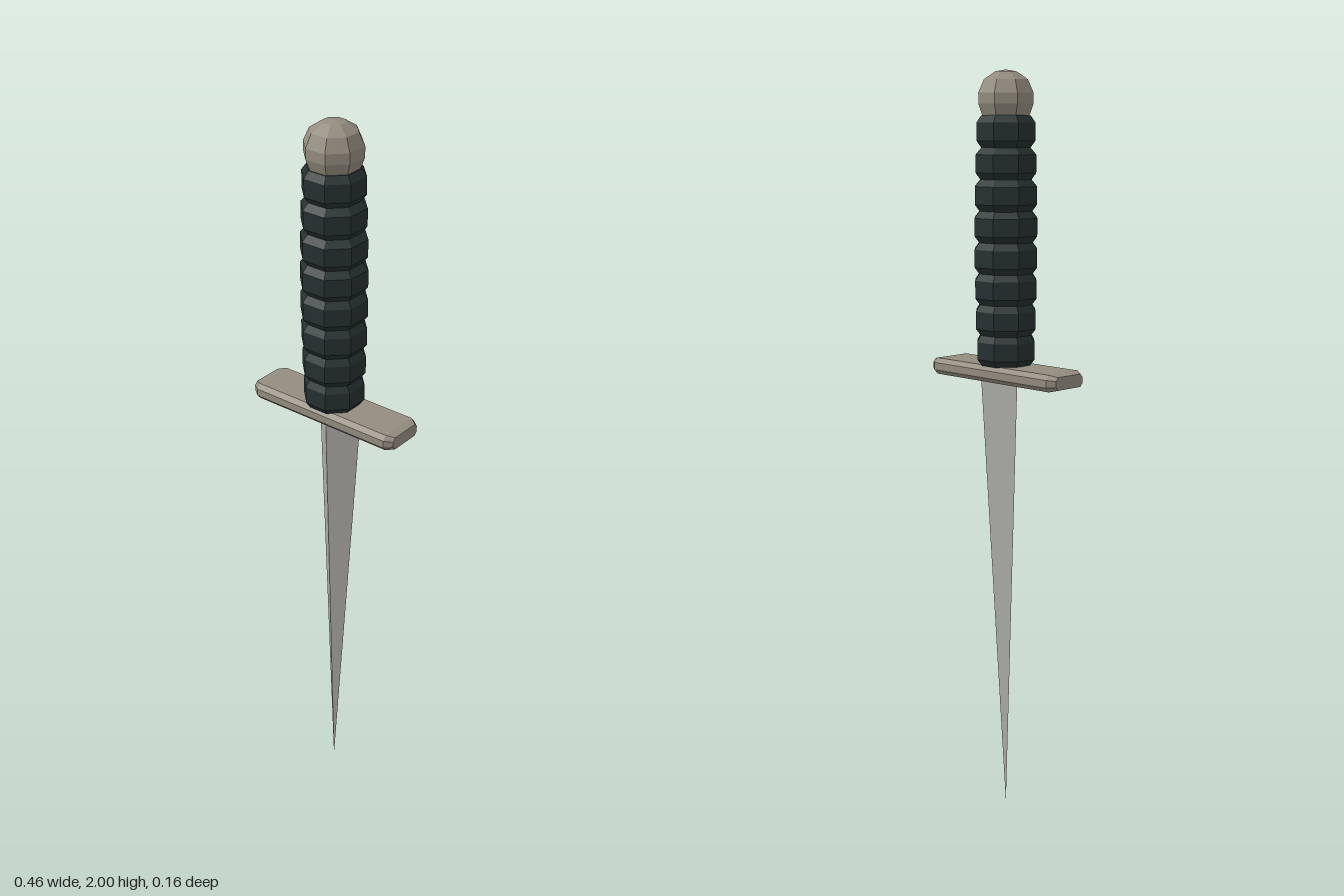
import * as THREE from 'three';

// Joins rings of equal length (counter-clockwise seen from the far end) and closes both ends.
function loft(rings) {
  const n = rings[0].length, pos = [];
  const tri = (a, b, c) => pos.push(...a, ...b, ...c);
  for (let i = 0; i < rings.length - 1; i++) {
    for (let j = 0; j < n; j++) {
      const k = (j + 1) % n, a = rings[i], b = rings[i + 1];
      tri(a[j], a[k], b[k]);
      tri(a[j], b[k], b[j]);
    }
  }
  const first = rings[0], last = rings[rings.length - 1];
  for (let j = 1; j < n - 1; j++) {
    tri(first[0], first[j + 1], first[j]);
    tri(last[0], last[j], last[j + 1]);
  }
  const geometry = new THREE.BufferGeometry();
  geometry.setAttribute('position', new THREE.Float32BufferAttribute(pos, 3));
  geometry.computeVertexNormals();
  return geometry;
}

// Eight-sided turned part with flats facing the axes; profile radii are across the flats.
function octagonTurn(profile) {
  const points = profile.map(([r, y]) => new THREE.Vector2(r / Math.cos(Math.PI / 8), y));
  const geometry = new THREE.LatheGeometry(points, 8, Math.PI / 8).toNonIndexed();
  geometry.computeVertexNormals();
  return geometry;
}

export function createModel() {
  const group = new THREE.Group();
  const material = (name, color) => {
    const m = new THREE.MeshStandardMaterial({ color });
    m.name = name;
    return m;
  };
  const steel = material('blade steel', 0xacaba6);
  const bronze = material('dull bronze', 0x938c7e);
  const wrap = material('dark grip', 0x263030);
  const add = (name, geometry, mat) => {
    const mesh = new THREE.Mesh(geometry, mat);
    mesh.name = name;
    group.add(mesh);
  };

  // Blade: flat back, central front ridge, tapering down to a point
  const bladeRing = (y, s) => [[0.068 * s, y, -0.026 * s], [-0.068 * s, y, -0.026 * s], [0, y, 0.035 * s]];
  add('blade', loft([bladeRing(0, 0.005), bladeRing(1.21, 1)]), steel);

  // Crossguard: bevelled bar with narrowed ends
  const section = [[0.01, 0.064], [-0.01, 0.064], [-0.022, 0.053], [-0.022, -0.055],
    [-0.01, -0.066], [0.01, -0.066], [0.022, -0.055], [0.022, 0.053]];
  const guardRing = (x, s) => section.map(([y, z]) => [x, 1.222 + y * s, z * s]);
  add('crossguard', loft([guardRing(-0.229, 0.77), guardRing(-0.208, 1),
    guardRing(0.208, 1), guardRing(0.229, 0.77)]), bronze);

  // Grip: eight bevelled ribs, slightly fuller in the middle
  const ribs = 8, bottom = 1.243, pitch = 0.0804;
  const grip = [[0, bottom]];
  for (let i = 0; i < ribs; i++) {
    const y = bottom + i * pitch;
    const r = 0.075 + 0.006 * Math.sin((Math.PI * i) / (ribs - 1));
    grip.push([r - 0.012, y], [r, y + 0.017], [r, y + 0.063]);
  }
  grip.push([0.063, bottom + ribs * pitch], [0, bottom + ribs * pitch]);
  add('grip', octagonTurn(grip), wrap);

  // Pommel: faceted knob
  add('pommel', octagonTurn([[0, 1.88], [0.058, 1.88], [0.07, 1.915], [0.07, 1.942],
    [0.056, 1.975], [0.027, 1.995], [0, 2]]), bronze);

  return group;
}
